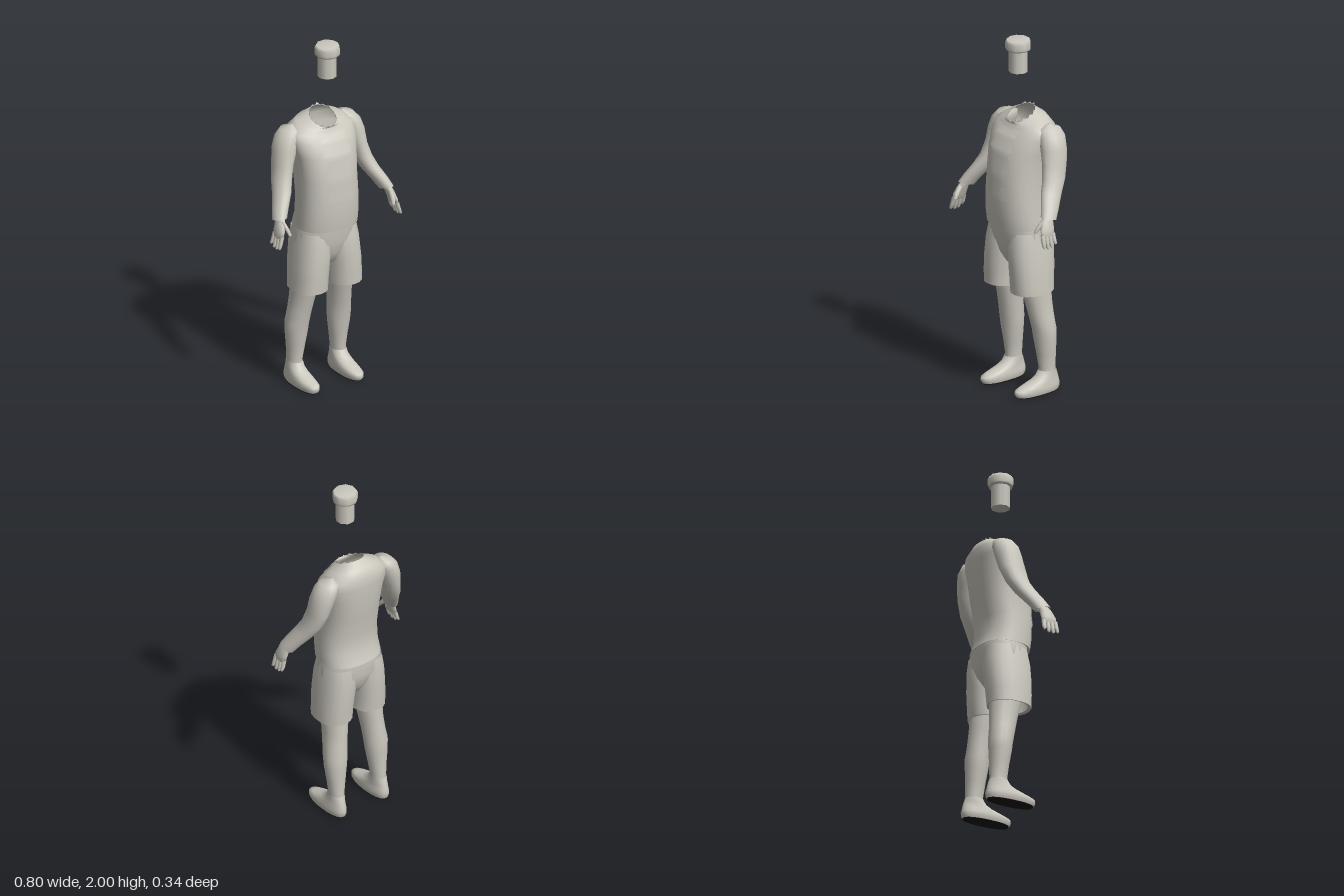
import * as THREE from 'three';

const cloth = new THREE.MeshStandardMaterial({ color: 0xcbc8be, side: THREE.DoubleSide });
cloth.name = 'warm grey';
const dark = new THREE.MeshStandardMaterial({ color: 0x141414, side: THREE.DoubleSide });
dark.name = 'sole black';

// Point on a ring [y, cx, cz, rx, rz, tilt, n]; n is the squareness of the outline
function ringPoint([y, cx, cz, rx, rz, tilt = 0, n = 2], a) {
  const s = Math.sin(a), c = Math.cos(a);
  const dz = rz * Math.sign(c) * Math.abs(c) ** (2 / n);
  return [cx + rx * Math.sign(s) * Math.abs(s) ** (2 / n), y + tilt * dz, cz + dz];
}

// Triangles for a grid of points; wrap joins the last column to the first
function grid(rows, wrap, flip) {
  const w = rows[0].length, pos = rows.flat(2), index = [];
  for (let j = 0; j < rows.length - 1; j++) {
    for (let i = 0; i < (wrap ? w : w - 1); i++) {
      const k = (i + 1) % w;
      const a = j * w + i, b = j * w + k, c = a + w, d = b + w;
      if (flip) index.push(a, c, b, b, c, d);
      else index.push(a, b, c, b, d, c);
    }
  }
  const g = new THREE.BufferGeometry();
  g.setAttribute('position', new THREE.Float32BufferAttribute(pos, 3));
  g.setIndex(index);
  g.computeVertexNormals();
  return g;
}

// Skin over rings listed from bottom to top; side -1 mirrors it
function loft(name, rings, seg = 16, side = 1, mat = cloth) {
  const rows = rings.map(r => Array.from({ length: seg }, (_, i) => {
    const p = ringPoint(r, (i / seg) * Math.PI * 2);
    return [p[0] * side, p[1], p[2]];
  }));
  const mesh = new THREE.Mesh(grid(rows, true, side < 0), mat);
  mesh.name = name;
  return mesh;
}

// Folded-in hem: doubled ring keeps the edge crisp
function hemmed(rings, k = 0.85) {
  const [y, cx, cz, rx, rz, tilt, n] = rings[0];
  return [[y + 0.005, cx, cz, rx * k, rz * k, tilt, n], rings[0], ...rings];
}

const TORSO = [
  [0.95, 0, -0.007, 0.178, 0.148, 0, 2.4],
  [1.02, 0, 0.01, 0.175, 0.14, 0, 2.4],
  [1.12, 0, 0.014, 0.172, 0.139, 0, 2.4],
  [1.25, 0, -0.002, 0.17, 0.149, 0, 2.4],
  [1.38, 0, -0.02, 0.182, 0.145, 0, 2.4],
  [1.46, 0, -0.042, 0.2, 0.128, 0, 2.4],
  [1.51, 0, -0.057, 0.195, 0.113, -0.1, 2.3],
  [1.545, 0, -0.052, 0.14, 0.095, -0.22, 2.2],
  [1.565, 0, -0.025, 0.075, 0.075, -0.48, 2],
];

function torsoRing(t) {
  const j = Math.min(Math.floor(t), TORSO.length - 2), f = t - j;
  return TORSO[j].map((v, k) => v + (TORSO[j + 1][k] - v) * f);
}

// Front panel that follows the chest, with sawtooth side edges
function frontPanel() {
  const rows = [], count = 40;
  for (let j = 0; j <= count; j++) {
    const r = torsoRing(1.85 + (j / count) * 6.1);
    const saw = 0.028 * ((j % 5) / 4);
    const half = Math.min(0.96, (0.095 - saw * (j < 32 ? 1 : 0.4)) / r[3]);
    const a = Math.asin(half ** (r[6] / 2));
    rows.push(Array.from({ length: 13 }, (_, i) => {
      const p = ringPoint(r, a * (i / 6 - 1));
      return [p[0], p[1] + 0.003, p[2] + 0.007];
    }));
  }
  const mesh = new THREE.Mesh(grid(rows, false, false), cloth);
  mesh.name = 'frontPanel';
  return mesh;
}

// Ragged stand-up edge around the neck opening
function collar() {
  const base = TORSO[TORSO.length - 1], rows = [[], []];
  for (let i = 0; i < 28; i++) {
    const a = (i / 28) * Math.PI * 2;
    const tooth = i % 2 ? 0.012 + 0.008 * Math.abs(Math.sin(i * 2.3)) : -0.006;
    const p = ringPoint(base, a);
    rows[0].push(p);
    rows[1].push([p[0] * (1 - tooth * 4), p[1] + tooth * 0.6, p[2] + Math.cos(a) * tooth * 0.3]);
  }
  const mesh = new THREE.Mesh(grid(rows, true, false), cloth);
  mesh.name = 'raggedCollar';
  return mesh;
}

function arm(s) {
  const g = new THREE.Group();
  g.name = s > 0 ? 'leftArm' : 'rightArm';
  g.add(loft('sleeve', hemmed([
    [1.085, 0.347, 0.072, 0.037, 0.046, 0.3],
    [1.13, 0.325, 0.045, 0.042, 0.052, 0.2],
    [1.2, 0.285, 0, 0.047, 0.063, 0.1],
    [1.26, 0.262, -0.035, 0.05, 0.07],
    [1.34, 0.24, -0.058, 0.052, 0.075],
    [1.42, 0.22, -0.068, 0.065, 0.077],
    [1.48, 0.2, -0.075, 0.064, 0.075],
    [1.52, 0.18, -0.078, 0.05, 0.058],
    [1.54, 0.165, -0.08, 0.002, 0.002],
  ], 0.6), 16, s));
  g.add(loft('palm', [
    [0.99, 0.376, 0.1, 0.002, 0.002],
    [0.995, 0.376, 0.1, 0.013, 0.044],
    [1.03, 0.368, 0.098, 0.019, 0.046],
    [1.07, 0.355, 0.088, 0.022, 0.038],
    [1.11, 0.34, 0.068, 0.022, 0.03],
  ], 12, s));
  // Fingers fan out front to back
  for (let i = 0; i < 4; i++) {
    const z0 = 0.134 - i * 0.023, z1 = 0.14 - i * 0.026;
    const tip = [0.937, 0.93, 0.932, 0.945][i];
    g.add(loft('finger', [
      [tip, 0.394, z1, 0.001, 0.001],
      [tip + 0.008, 0.393, z1, 0.009, 0.009],
      [0.97, 0.385, (z0 + z1) / 2, 0.011, 0.012],
      [1.01, 0.374, z0, 0.012, 0.013],
    ], 8, s));
  }
  g.add(loft('thumb', [
    [1.01, 0.336, 0.158, 0.001, 0.001],
    [1.018, 0.337, 0.154, 0.01, 0.011],
    [1.05, 0.344, 0.132, 0.012, 0.018],
    [1.085, 0.352, 0.1, 0.012, 0.02],
  ], 8, s));
  return g;
}

function leg(s) {
  const g = new THREE.Group();
  g.name = s > 0 ? 'leftLeg' : 'rightLeg';
  g.add(loft('shortsLeg', hemmed([
    [0.585, 0.111, -0.008, 0.098, 0.122, 0, 2.3],
    [0.66, 0.108, -0.009, 0.098, 0.127, 0, 2.3],
    [0.74, 0.102, -0.011, 0.099, 0.132, 0, 2.3],
    [0.85, 0.09, -0.015, 0.1, 0.133, 0, 2.3],
    [0.93, 0.085, -0.018, 0.092, 0.122, 0, 2.3],
  ]), 18, s));
  g.add(loft('calf', [
    [0.09, 0.142, -0.088, 0.043, 0.052],
    [0.14, 0.141, -0.088, 0.041, 0.05],
    [0.22, 0.139, -0.082, 0.052, 0.055],
    [0.3, 0.138, -0.076, 0.063, 0.063],
    [0.36, 0.136, -0.072, 0.067, 0.068],
    [0.44, 0.128, -0.058, 0.064, 0.073],
    [0.52, 0.119, -0.046, 0.066, 0.08],
    [0.6, 0.114, -0.033, 0.071, 0.09],
    [0.68, 0.11, -0.02, 0.075, 0.095],
  ], 16, s));
  g.add(loft('shoe', [
    [0.004, 0.143, -0.018, 0.046, 0.138, 0, 2.3],
    [0.02, 0.143, -0.016, 0.052, 0.147, 0, 2.3],
    [0.04, 0.143, -0.018, 0.052, 0.147, 0, 2.3],
    [0.058, 0.143, -0.03, 0.049, 0.129, -0.05, 2.2],
    [0.08, 0.143, -0.06, 0.046, 0.093, -0.1],
    [0.1, 0.142, -0.08, 0.044, 0.066, -0.1],
    [0.125, 0.142, -0.088, 0.043, 0.052],
  ], 20, s));
  // Sole narrows to a flat closed underside
  g.add(loft('sole', [
    [0, 0.143, -0.018, 0.001, 0.001],
    [0, 0.143, -0.018, 0.045, 0.136, 0, 2.3],
    [0.005, 0.143, -0.018, 0.046, 0.138, 0, 2.3],
  ], 20, s, dark));
  return g;
}

// Stubby peg with a wide rounded head, floating over the neck
function peg() {
  const profile = [[0, 1.815], [0.052, 1.815], [0.052, 1.815], [0.052, 1.94], [0.052, 1.94],
    [0.066, 1.94], [0.07, 1.95], [0.07, 1.985], [0.062, 2], [0, 2]];
  const mesh = new THREE.Mesh(
    new THREE.LatheGeometry(profile.map(p => new THREE.Vector2(...p)), 9), cloth);
  mesh.position.set(0.01, 0, 0.004);
  mesh.name = 'floatingPeg';
  return mesh;
}

export function createModel() {
  const model = new THREE.Group();
  model.name = 'headlessFigure';
  model.add(loft('shirt', hemmed(TORSO, 0.9), 32), frontPanel(), collar(), peg());
  model.add(loft('shortsSeat', [
    [0.7, 0, -0.012, 0.02, 0.03],
    [0.73, 0, -0.012, 0.08, 0.075],
    [0.79, 0, -0.014, 0.16, 0.112],
    [0.87, 0, -0.017, 0.186, 0.134, 0, 2.4],
    [0.96, 0, -0.012, 0.174, 0.136, 0, 2.4],
  ], 24));
  for (const s of [1, -1]) model.add(arm(s), leg(s));
  return model;
}
